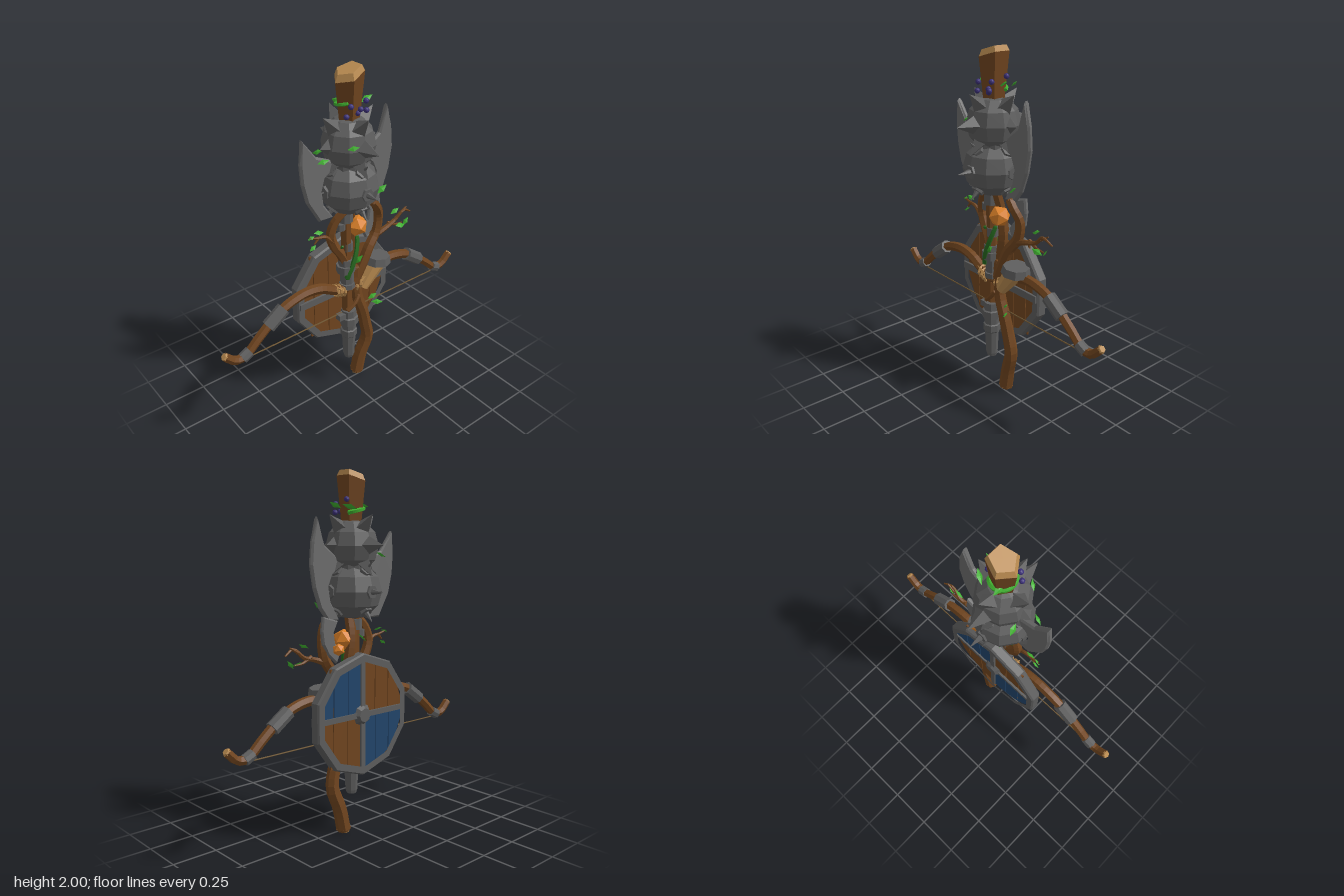
import * as THREE from 'three';

const mat = (name, color) => Object.assign(new THREE.MeshStandardMaterial({ color }), { name });
const V = (x, y, z) => new THREE.Vector3(x, y, z);

export function createModel() {
  const iron = mat('iron', 0x5d5d5d), steel = mat('blade steel', 0x6c6c6c), wood = mat('wood', 0x70451f),
    tan = mat('cut wood', 0xb88a50), leafGreen = mat('leaf green', 0x3fae2f), vineGreen = mat('vine green', 0x276a20),
    amber = mat('amber', 0xdc8129), berry = mat('berry purple', 0x3c3178), blue = mat('painted blue', 0x22456b),
    cord = mat('cord', 0x6e5632);
  const root = new THREE.Group();
  root.name = 'weaponTotem';

  // Adds a faceted mesh to the model
  const add = (name, geo, material, parent = root) => {
    const g = geo.index ? geo.toNonIndexed() : geo;
    g.computeVertexNormals();
    const m = new THREE.Mesh(g, material);
    m.name = name;
    parent.add(m);
    return m;
  };
  const Y = V(0, 1, 0);
  // Cylinder or cone running from a to b
  const rod = (name, a, b, r0, r1, sides, material) => {
    const d = b.clone().sub(a);
    const m = add(name, new THREE.CylinderGeometry(r1, r0, d.length(), sides), material);
    m.position.copy(a).add(b).multiplyScalar(0.5);
    m.quaternion.setFromUnitVectors(Y, d.normalize());
    return m;
  };
  // Tapered branch through [x, y, z] points, with end caps
  const limb = (name, pts, r0, r1, material = wood, capMat = material, sides = 6, seg = pts.length * 3) => {
    const curve = new THREE.CatmullRomCurve3(pts.map(p => V(...p)));
    const g = new THREE.TubeGeometry(curve, seg, 1, sides);
    const p = g.attributes.position, v = V(0, 0, 0);
    for (let i = 0; i < p.count; i++) {
      const t = Math.floor(i / (sides + 1)) / seg, c = curve.getPointAt(t);
      v.fromBufferAttribute(p, i).sub(c).multiplyScalar(r0 + (r1 - r0) * t).add(c);
      p.setXYZ(i, v.x, v.y, v.z);
    }
    add(name, g, material);
    for (const t of [0, 1]) {
      const c = curve.getPointAt(t), d = curve.getTangentAt(t).multiplyScalar(t ? 1 : -1), r = t ? r1 : r0;
      rod(name + 'Cap', c.clone().addScaledVector(d, -r * 0.2), c.clone().addScaledVector(d, r * 0.25), r, r * 0.75, sides, t ? capMat : material);
    }
  };
  // Plate drawn in (z, y), centred on x
  const plate = (name, pts, x, depth, material, bevel = 0) => {
    const s = new THREE.Shape(pts.map(p => new THREE.Vector2(p[0], p[1])));
    const g = new THREE.ExtrudeGeometry(s, { depth, bevelEnabled: bevel > 0, bevelThickness: bevel, bevelSize: bevel, bevelOffset: -bevel, bevelSegments: 1 });
    g.translate(0, 0, -depth / 2).rotateY(-Math.PI / 2);
    add(name, g, material).position.x = x;
  };
  const box = (name, w, h, d, x, y, z, material) => add(name, new THREE.BoxGeometry(w, h, d), material).position.set(x, y, z);

  // Club head at the top with a slanted cut
  const slant = g => {
    const p = g.attributes.position;
    for (let i = 0; i < p.count; i++) if (p.getY(i) > 1.85) p.setY(i, p.getY(i) - p.getZ(i) * 0.32);
    return g;
  };
  add('clubHandle', slant(new THREE.CylinderGeometry(0.082, 0.05, 0.3, 5).translate(0, 1.795, 0)), wood);
  add('clubCutTop', slant(new THREE.CylinderGeometry(0.066, 0.082, 0.034, 5).translate(0, 1.961, 0)), tan);

  // Two spiked mace balls
  add('upperBall', new THREE.SphereGeometry(0.148, 10, 6).translate(0, 1.595, 0), iron);
  add('lowerBall', new THREE.SphereGeometry(0.168, 10, 6).scale(1, 0.94, 1).translate(0, 1.355, 0), iron);
  add('ballNeck', new THREE.CylinderGeometry(0.1, 0.1, 0.1, 10).translate(0, 1.48, 0), iron);
  for (const [cy, sides, base] of [[1.6, 4, 0.056], [1.355, 6, 0.028]])
    for (const el of [-45, 0, 45])
      for (let k = 0; k < 4; k++) {
        const e = el * Math.PI / 180, a = k * Math.PI / 2, c = V(0, cy, 0);
        const d = V(Math.cos(e) * Math.cos(a), Math.sin(e), Math.cos(e) * Math.sin(a));
        const tip = el ? 0.225 : (k % 2 ? 0.18 : 0.24);
        rod('spike', c.clone().addScaledVector(d, 0.115), c.clone().addScaledVector(d, tip), base, 0.001, sides, iron);
        if (sides === 6) rod('spikeSocket', c.clone().addScaledVector(d, 0.13), c.clone().addScaledVector(d, 0.165), 0.042, 0.036, 6, iron);
      }

  // Axe blades
  plate('axeBladeFront', [[0.295, 1.68], [0.31, 1.55], [0.302, 1.44], [0.275, 1.33], [0.2, 1.2], [0.11, 1.2], [0.17, 1.29],
    [0.18, 1.37], [0.16, 1.44], [0.1, 1.48], [0.12, 1.53], [0.21, 1.57]], 0, 0.012, steel, 0.01);
  plate('axeBladeBack', [[-0.25, 1.745], [-0.285, 1.62], [-0.295, 1.5], [-0.275, 1.38], [-0.235, 1.27], [-0.18, 1.2], [-0.1, 1.2],
    [-0.16, 1.3], [-0.175, 1.38], [-0.15, 1.44], [-0.1, 1.48], [-0.12, 1.54], [-0.2, 1.6]], 0, 0.012, steel, 0.01);
  plate('smallAxeBlade', [[-0.235, 1.23], [-0.245, 1.15], [-0.235, 1.08], [-0.2, 1.02], [-0.14, 0.97], [-0.11, 1.03],
    [-0.15, 1.08], [-0.16, 1.14], [-0.13, 1.2]], -0.025, 0.012, steel, 0.008);

  // Central shaft with iron collars and the sheath below
  rod('shaft', V(0, 0.5, 0.01), V(0, 1.24, 0.02), 0.032, 0.03, 6, wood);
  for (const [y, h, r, z] of [[1.17, 0.06, 0.04, 0.02], [1.12, 0.04, 0.03, 0.055], [0.98, 0.05, 0.034, 0.01], [0.88, 0.04, 0.042, 0.02],
    [0.84, 0.045, 0.055, 0.02], [0.78, 0.08, 0.04, 0.01], [0.72, 0.03, 0.045, 0.01]])
    add('shaftCollar', new THREE.CylinderGeometry(r, r, h, 8).translate(0, y, z), iron);
  const sheath = [[0, 0.2], [0.028, 0.2], [0.034, 0.22], [0.041, 0.36], [0.05, 0.37], [0.05, 0.41], [0.042, 0.415], [0.044, 0.45],
    [0.056, 0.455], [0.056, 0.5], [0.046, 0.505], [0.044, 0.55], [0, 0.55]];
  add('sheath', new THREE.LatheGeometry(sheath.map(p => new THREE.Vector2(...p)), 8).translate(0.01, 0, 0.005), iron);
  box('sheathHook', 0.04, 0.035, 0.06, 0.01, 0.52, 0.055, iron);

  // Twisted staff: root, fork and twigs
  limb('staffRoot', [[0, 0.82, -0.05], [0.005, 0.62, -0.06], [0.005, 0.5, -0.1], [0, 0.4, -0.125], [-0.005, 0.27, -0.15],
    [-0.02, 0.14, -0.11], [-0.025, 0.015, -0.085]].reverse(), 0.043, 0.03, wood, wood, 7);
  add('rootCut', new THREE.CylinderGeometry(0.036, 0.03, 0.02, 7).translate(-0.025, 0.01, -0.085), tan);
  limb('forkBack', [[0, 0.72, -0.04], [0.01, 0.84, -0.1], [0.01, 0.92, -0.14], [0, 1.0, -0.2], [0, 1.1, -0.215], [0.02, 1.17, -0.185], [0.02, 1.21, -0.155]], 0.035, 0.025);
  limb('forkFront', [[0, 0.76, 0], [0, 0.92, 0.04], [-0.01, 1.0, 0.09], [-0.01, 1.08, 0.115], [0, 1.16, 0.09], [0.02, 1.215, 0.045]], 0.034, 0.024);
  limb('innerStem', [[-0.02, 0.8, -0.02], [-0.03, 0.95, -0.05], [-0.03, 1.1, -0.03], [0, 1.22, -0.02]], 0.034, 0.028);
  limb('twigBack', [[0, 0.97, -0.18], [0.01, 1.0, -0.26], [0, 1.02, -0.34], [0.01, 1.07, -0.4], [0, 1.04, -0.46]], 0.02, 0.005);
  limb('twigBackLower', [[0, 1.02, -0.29], [0, 0.99, -0.35], [0, 0.985, -0.4]], 0.011, 0.004);
  limb('twigBackUpper', [[0, 1.05, -0.38], [0, 1.08, -0.43]], 0.009, 0.004);
  limb('twigFront', [[0, 1.04, 0.11], [0, 1.09, 0.16], [0, 1.1, 0.21], [0, 1.115, 0.26]], 0.015, 0.004);
  limb('twigFrontLower', [[0, 1.1, 0.2], [0, 1.07, 0.23]], 0.008, 0.004);

  // Bow: mirrored arms, sleeves and tip bands
  for (const s of [1, -1]) {
    limb('bowArm', [[0, 0.69, 0], [0, 0.72, 0.1], [0, 0.77, 0.2], [0, 0.785, 0.3], [0, 0.76, 0.42], [0, 0.71, 0.51], [0, 0.63, 0.61],
      [0, 0.555, 0.7], [0, 0.552, 0.76], [0, 0.61, 0.825]].map(p => [p[0], p[1], p[2] * s]), 0.031, 0.024, wood, tan);
    rod('bowSleeve', V(0, 0.75, 0.445 * s), V(0, 0.675, 0.55 * s), 0.04, 0.04, 8, iron);
    rod('bowTipBand', V(0, 0.57, 0.672 * s), V(0, 0.545, 0.722 * s), 0.031, 0.031, 8, iron);
    // Lashing around the grip
    for (let i = 0; i < 3; i++) {
      const z = (0.045 + i * 0.024) * s;
      add('lashing', new THREE.TorusGeometry(0.034, 0.009, 4, 8), tan).position.set(0, 0.695 + i * 0.008, z);
    }
    rod('lashingEnd', V(0.02, 0.71, 0.06 * s), V(0.035, 0.75, 0.1 * s), 0.013, 0.002, 4, tan);
  }
  rod('bowString', V(0, 0.535, -0.7), V(0, 0.535, 0.7), 0.004, 0.004, 5, cord);

  // Horn cup strapped beside the grip
  rod('hornCup', V(0.015, 0.67, -0.09), V(0.015, 0.81, -0.195), 0.035, 0.06, 8, tan);
  rod('hornRim', V(0.01, 0.8, -0.2), V(0.01, 0.845, -0.205), 0.085, 0.075, 8, iron);

  // Round shield facing -x: decagon rim and vertical planks
  const R = 0.345, cy = 0.675, sx = -0.07;
  const deca = r => Array.from({ length: 10 }, (_, i) => [r * Math.sin(i * Math.PI / 5), cy + r * Math.cos(i * Math.PI / 5)]);
  const rim = new THREE.Shape(deca(R - 0.008).map(p => new THREE.Vector2(...p)));
  rim.holes.push(new THREE.Path(deca(0.298).map(p => new THREE.Vector2(...p))));
  const rimGeo = new THREE.ExtrudeGeometry(rim, { depth: 0.044, bevelThickness: 0.01, bevelSize: 0.008, bevelSegments: 1 });
  add('shieldRim', rimGeo.translate(0, 0, -0.022).rotateY(-Math.PI / 2), iron).position.x = sx;
  const chord = z => Math.sqrt(Math.max(0, 0.31 * 0.31 - z * z));
  for (let i = 0; i < 6; i++)
    for (const s of [1, -1]) {
      const a = -0.308 + i * 0.1027, b = a + 0.098, m = (a + b) / 2;
      const strip = [[a, cy], [b, cy], [b, cy + s * chord(b)], [m, cy + s * chord(m)], [a, cy + s * chord(a)]];
      plate('shieldPlank', strip, sx, 0.024, wood);
      if ((i < 3) === (s > 0)) plate('bluePaint', strip, sx - 0.014, 0.005, blue);
    }
  box('shieldSeamBacking', 0.01, 0.55, 0.44, sx, cy, 0, wood);
  box('shieldCrossVertical', 0.014, 0.62, 0.03, sx - 0.018, cy, 0, iron);
  box('shieldCrossHorizontal', 0.014, 0.03, 0.62, sx - 0.018, cy, 0, iron);
  rod('shieldBoss', V(sx - 0.01, cy, 0), V(sx - 0.04, cy, 0), 0.065, 0.04, 8, iron);
  box('shieldArmStrap', 0.014, 0.042, 0.63, sx + 0.035, 0.668, 0, iron);

  // Amber crystals
  const crystal = (r, x, y, z) => {
    const m = add('amberCrystal', new THREE.IcosahedronGeometry(r, 0), amber);
    m.position.set(x, y, z);
    m.rotation.set(0.4, 0.3, 0.2);
  };
  crystal(0.062, 0.005, 1.09, -0.055);
  crystal(0.034, -0.06, 1.05, -0.15);

  // Vines winding round the shaft and club
  const coil = (name, y0, y1, r, z, a0, turns, w, m) => limb(name, Array.from({ length: 9 }, (_, i) => {
    const t = i / 8, a = a0 + t * turns * Math.PI * 2;
    return [Math.cos(a) * r, y0 + (y1 - y0) * t, z - Math.sin(a) * r];
  }), w, w * 0.7, m, m, 5);
  coil('shaftVine', 0.79, 1.03, 0.05, 0, -0.8, 0.3, 0.017, vineGreen);
  coil('shaftVineBack', 0.84, 1.0, 0.05, 0.01, 2, 0.5, 0.012, vineGreen);
  coil('clubVine', 1.77, 1.82, 0.064, 0, 2.1, 0.55, 0.013, leafGreen);
  limb('gripWrap', [[0.03, 0.56, 0.03], [0.04, 0.6, -0.02], [0.035, 0.64, -0.05]], 0.014, 0.012);

  // Leaves: [x, y, z, tilt, turn, size]
  for (const [x, y, z, tilt, turn, k] of [[-0.06, 1.81, 0.03, 0.2, 0, 1.2], [0.02, 1.81, -0.1, 0.4, 1.4, 1.2], [-0.07, 1.8, -0.08, 0.3, 1, 1.3],
    [0.13, 1.62, 0.07, 0.2, 0.9, 1], [-0.08, 1.55, 0.14, 0.4, 0.3, 1.1], [0.04, 1.55, 0.19, 0.2, 1.2, 1], [0.04, 1.28, -0.2, 0.6, 1.4, 1.2],
    [0, 1.13, 0.2, -0.2, 1.5, 1], [0, 1.115, 0.25, 0.3, 1.4, 0.7], [0, 1.05, 0.24, 0.5, 1.6, 0.8],
    [0, 1.08, -0.34, 0.4, 1.5, 1], [0.02, 0.985, -0.37, -0.2, 1.6, 1.2], [0.01, 0.99, -0.42, 0.9, 1.5, 0.9],
    [0.055, 0.9, -0.03, 0.9, 0.8, 1.2], [0.06, 0.55, -0.17, 0.1, 0.7, 1.1], [0.04, 0.59, -0.15, 0.5, 1.2, 1], [-0.05, 1.1, 0.03, 0.7, 0.4, 1]]) {
    const m = add('leaf', new THREE.OctahedronGeometry(1).scale(0.032, 0.005, 0.015), leafGreen);
    m.scale.setScalar(k);
    m.position.set(x, y, z);
    m.rotation.set(0.7, turn, tilt, 'YZX');
  }

  // Berries on the club handle
  for (const [x, y, z] of [[0.06, 1.78, -0.03], [0.07, 1.81, 0.04], [0.075, 1.775, -0.055], [0.065, 1.82, -0.06], [0.06, 1.76, 0.06], [-0.03, 1.84, -0.065], [0.05, 1.76, -0.02]])
    add('berry', new THREE.IcosahedronGeometry(0.015, 1), berry).position.set(x, y, z);

  return root;
}
